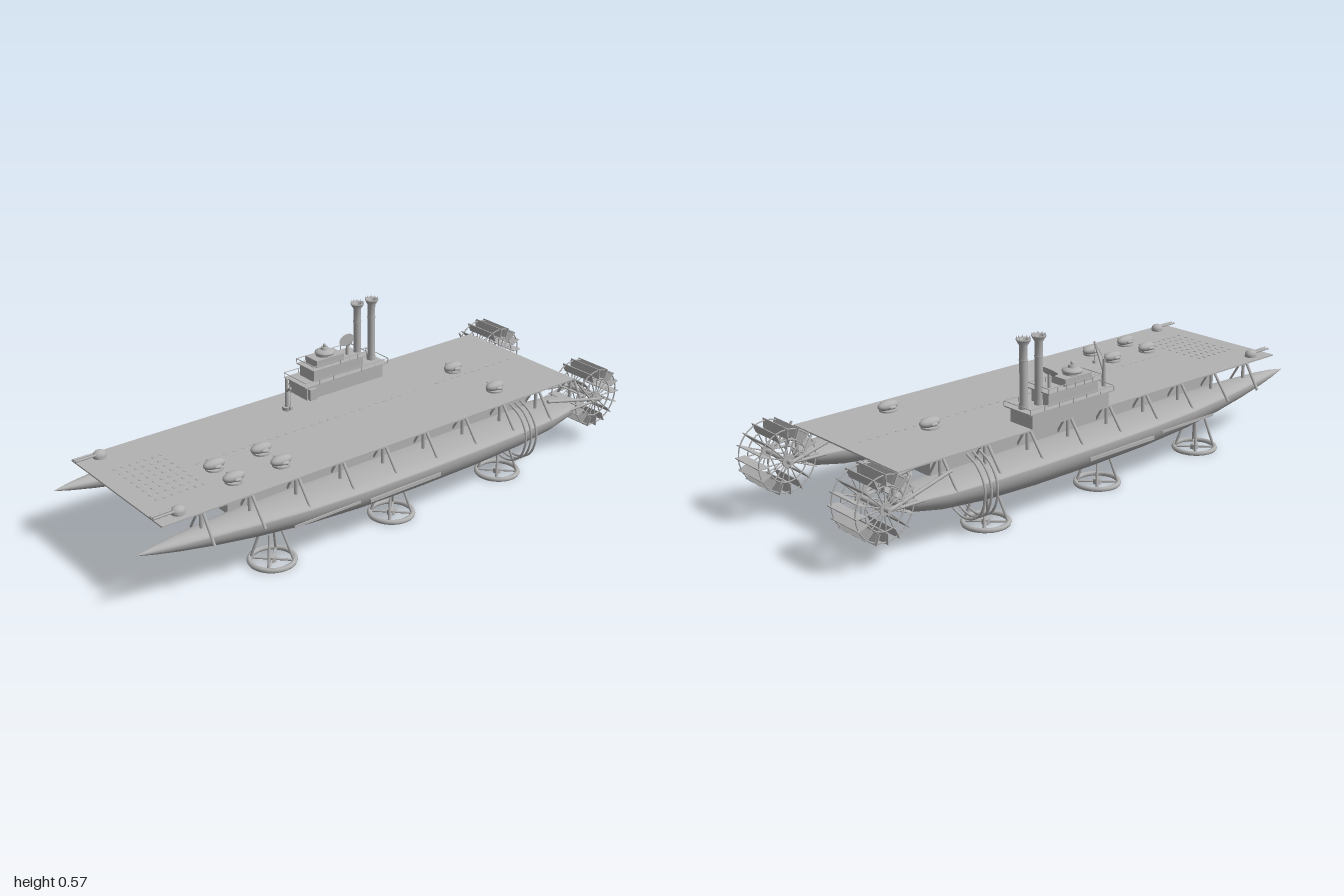
import * as THREE from 'three';

const grey = new THREE.MeshStandardMaterial({ color: 0xb2b2b2 });
grey.name = 'plain grey';

const V = (x, y, z) => new THREE.Vector3(x, y, z);

export function createModel() {
  const root = new THREE.Group();
  root.name = 'paddleRaft';

  const add = (name, geo, x = 0, y = 0, z = 0, parent = root) => {
    const m = new THREE.Mesh(geo, grey);
    m.name = name;
    m.position.set(x, y, z);
    parent.add(m);
    return m;
  };
  const group = (name, x = 0, y = 0, z = 0) => {
    const g = new THREE.Group();
    g.name = name;
    g.position.set(x, y, z);
    root.add(g);
    return g;
  };
  const box = (name, w, h, d, x, y, z, parent) => add(name, new THREE.BoxGeometry(w, h, d), x, y, z, parent);
  const cyl = (name, r1, r2, h, x, y, z, parent, n = 20) =>
    add(name, new THREE.CylinderGeometry(r1, r2, h, n), x, y, z, parent);
  const rod = (name, a, b, r, parent) => {
    const d = b.clone().sub(a);
    const m = add(name, new THREE.CylinderGeometry(r, r, d.length(), 8), 0, 0, 0, parent);
    m.position.copy(a).add(b).multiplyScalar(0.5);
    m.quaternion.setFromUnitVectors(V(0, 1, 0), d.normalize());
    return m;
  };
  const ball = (name, rx, ry, rz, x, y, z, parent) => {
    const m = add(name, new THREE.SphereGeometry(1, 20, 12), x, y, z, parent);
    m.scale.set(rx, ry, rz);
    return m;
  };

  // Hull lofted from sections: z, half width, gunwale height, crown height, keel height
  const sections = [
    [1, 0.0005, 0.198, 0.199, 0.197], [0.94, 0.015, 0.196, 0.208, 0.182], [0.86, 0.03, 0.194, 0.213, 0.165],
    [0.74, 0.049, 0.192, 0.213, 0.144], [0.6, 0.067, 0.189, 0.211, 0.124], [0.42, 0.086, 0.186, 0.209, 0.105],
    [0.2, 0.098, 0.184, 0.207, 0.093], [-0.05, 0.1, 0.182, 0.206, 0.088], [-0.3, 0.099, 0.181, 0.205, 0.089],
    [-0.5, 0.094, 0.181, 0.203, 0.096], [-0.66, 0.084, 0.182, 0.201, 0.113], [-0.77, 0.066, 0.184, 0.198, 0.136],
    [-0.81, 0.04, 0.184, 0.194, 0.155], [-0.82, 0.0005, 0.176, 0.177, 0.175],
  ];
  function hullGeometry() {
    const n = 32, pos = [], idx = [];
    sections.forEach(([z, w, gun, top, keel], i) => {
      for (let j = 0; j < n; j++) {
        const a = (j / n) * Math.PI * 2, s = Math.sin(a);
        pos.push(Math.cos(a) * w, gun + s * (s > 0 ? top - gun : gun - keel), z);
        if (i < sections.length - 1) {
          const k = (j + 1) % n, A = i * n + j, B = i * n + k;
          idx.push(A, A + n, B, B, A + n, B + n);
        }
      }
    });
    const g = new THREE.BufferGeometry();
    g.setAttribute('position', new THREE.Float32BufferAttribute(pos, 3));
    g.setIndex(idx);
    g.computeVertexNormals();
    return g;
  }

  // Deck and the long body beneath it
  box('deck', 0.55, 0.005, 1.73, 0, 0.2735, 0.055);
  box('underDeckBody', 0.42, 0.077, 1.29, 0, 0.2335, 0.005);

  // Deck planks: centre line and bow patch
  for (let i = 0; i < 40; i++) box('deckDash', 0.004, 0.002, 0.012, 0, 0.2765, 0.62 - i * 0.035);
  for (let i = 0; i < 8; i++)
    for (let j = 0; j < 7; j++) box('bowStud', 0.012, 0.002, 0.008, -0.126 + i * 0.036, 0.2765, 0.68 + j * 0.028);

  const hull = hullGeometry();
  for (const s of [-1, 1]) {
    const cx = s * 0.255;
    add('hull', hull, cx, 0, 0);
    box('sideRail', 0.004, 0.008, 0.26, s * 0.352, 0.16, 0.37);
    box('sidePlate', 0.006, 0.012, 0.3, s * 0.352, 0.15, 0.05);

    // Deck struts
    for (let i = 0; i < 10; i++) {
      const z = 0.775 - i * 0.1765;
      const out = i === 0 || i === 9 ? 0.325 : 0.338;
      rod('deckStrut', V(s * 0.27, 0.272, z), V(s * out, 0.182, z), 0.005);
      rod('deckPost', V(cx, 0.19, z), V(cx, 0.272, z), 0.006);
      rod('innerStrut', V(s * 0.245, 0.272, z), V(s * 0.195, 0.19, z), 0.004);
    }

    // Pipes looping under the hull
    for (const z of [-0.495, -0.52, -0.545]) {
      const pts = [[0.27, 0.262], [0.315, 0.238], [0.347, 0.195], [0.355, 0.145], [0.326, 0.075],
        [0.255, 0.046], [0.184, 0.075], [0.155, 0.145], [0.165, 0.185]].map(([x, y]) => V(s * x, y, z));
      add('hullPipe', new THREE.TubeGeometry(new THREE.CatmullRomCurve3(pts), 36, 0.004, 6));
    }

    // Landing rings
    for (const z of [0.52, 0.03, -0.46]) {
      const g = group('landingRing', cx, 0, z);
      add('ring', new THREE.TorusGeometry(0.073, 0.0085, 8, 32).rotateX(Math.PI / 2), 0, 0.0095, 0, g);
      cyl('hub', 0.014, 0.014, 0.018, 0, 0.011, 0, g);
      for (let i = 0; i < 4; i++) {
        const a = Math.PI / 4 + i * Math.PI / 2, c = Math.cos(a), d = Math.sin(a);
        rod('spoke', V(0, 0.01, 0), V(c * 0.072, 0.01, d * 0.072), 0.004, g);
        rod('leg', V(c * 0.068, 0.014, d * 0.068), V(c * 0.034, 0.115, d * 0.034), 0.0045, g);
      }
    }

    // Stern paddle wheel
    const w = group('paddleWheel', cx, 0.195, -0.888);
    rod('axle', V(-0.085, 0, 0), V(0.085, 0, 0), 0.008, w);
    for (const x of [-0.06, 0.06]) {
      for (const r of [0.104, 0.07])
        add('wheelRim', new THREE.TorusGeometry(r, 0.0025, 6, 36).rotateY(Math.PI / 2), x, 0, 0, w);
      const h = cyl('wheelHub', 0.02, 0.02, 0.008, x, 0, 0, w);
      h.rotation.z = Math.PI / 2;
    }
    for (let i = 0; i < 16; i++) {
      const a = (i / 16) * Math.PI * 2, c = Math.cos(a), d = Math.sin(a);
      for (const x of [-0.06, 0.06]) rod('wheelSpoke', V(x, 0, 0), V(x, c * 0.108, d * 0.108), 0.0022, w);
      box('paddle', 0.142, 0.036, 0.003, 0, c * 0.092, d * 0.092, w).rotation.x = a;
    }
    // Wheel bearers and drive arms
    for (const x of [-0.08, 0.08]) {
      rod('wheelBearer', V(cx + x, 0.195, -0.888), V(cx + x * 0.7, 0.245, -0.64), 0.006);
      rod('lowerBearer', V(cx + x, 0.195, -0.888), V(cx + x * 0.75, 0.18, -0.7), 0.005);
      rod('bearerBrace', V(cx + x, 0.195, -0.85), V(cx + x * 0.75, 0.272, -0.79), 0.004);
    }

    // Bow guns
    const bow = group('bowGun', s * 0.235, 0.276, 0.84);
    cyl('gunBase', 0.022, 0.022, 0.006, 0, 0.003, 0, bow);
    ball('gunDome', 0.02, 0.018, 0.024, 0, 0.008, 0, bow);
    for (const x of [-0.007, 0.007]) rod('barrel', V(x, 0.014, 0), V(x, 0.014, 0.09), 0.004, bow);
  }

  // Deck turrets
  for (const [x, z] of [[-0.045, -0.51], [0.175, -0.51], [0.065, 0.42], [0.175, 0.42], [0.065, 0.6], [0.175, 0.6]]) {
    const t = group('turret', x, 0.276, z);
    cyl('turretBase', 0.03, 0.03, 0.006, 0, 0.005, 0, t);
    ball('turretBody', 0.02, 0.017, 0.04, 0, 0.02, 0, t);
    rod('crossBar', V(-0.04, 0.019, 0), V(0.04, 0.019, 0), 0.0025, t);
    for (const e of [-1, 1]) ball('turretPod', 0.008, 0.006, 0.014, e * 0.024, 0.019, 0, t);
  }

  // Wheelhouse tiers with railed platforms
  const X = -0.222;
  const platform = (w, d, y, z, h) => {
    box('platform', w, 0.004, d, X, y, z);
    for (const e of [-1, 1]) {
      box('handRail', 0.002, 0.002, d, X + e * w / 2, y + h, z);
      box('handRail', w, 0.002, 0.002, X, y + h, z + e * d / 2);
      for (let i = 0; i <= 6; i++) box('railPost', 0.002, h, 0.002, X + e * w / 2, y + h / 2, z - d / 2 + i * d / 6);
    }
  };
  box('lowerHouse', 0.105, 0.052, 0.34, X, 0.301, -0.11);
  platform(0.126, 0.37, 0.329, -0.112, 0.018);
  box('middleHouse', 0.082, 0.045, 0.22, X, 0.352, -0.09);
  platform(0.1, 0.235, 0.375, -0.09, 0.018);
  box('upperHouse', 0.066, 0.026, 0.12, X, 0.389, -0.06);
  cyl('domeCollar', 0.03, 0.032, 0.012, X, 0.406, -0.058);
  ball('dome', 0.035, 0.012, 0.035, X, 0.413, -0.058);
  cyl('domeCap', 0.012, 0.016, 0.012, X, 0.427, -0.058);
  ball('domeKnob', 0.006, 0.008, 0.006, X, 0.437, -0.058);
  cyl('lampPost', 0.005, 0.006, 0.05, X, 0.4, -0.16);
  const dish = cyl('signalDish', 0.029, 0.018, 0.012, X, 0.428, -0.16);
  dish.rotation.x = 0.6;
  box('frontLocker', 0.032, 0.04, 0.03, -0.171, 0.298, 0.04);

  // Funnels with crowned tops
  for (const z of [-0.205, -0.27]) {
    const f = group('funnel', X, 0, z);
    const profile = [[0.016, 0.32], [0.016, 0.345], [0.0135, 0.35], [0.0135, 0.49], [0.015, 0.491], [0.015, 0.494],
      [0.0135, 0.495], [0.0135, 0.54], [0.024, 0.558], [0.024, 0.562], [0.012, 0.56], [0.01, 0.54], [0, 0.54]];
    add('funnelPipe', new THREE.LatheGeometry(profile.map(([r, y]) => new THREE.Vector2(r, y)), 20), 0, 0, 0, f);
    for (let i = 0; i < 10; i++) {
      const a = (i / 10) * Math.PI * 2;
      add('crownPoint', new THREE.ConeGeometry(0.003, 0.01, 5), Math.cos(a) * 0.022, 0.565, Math.sin(a) * 0.022, f);
    }
  }

  // Crane
  const foot = V(-0.156, 0.345, 0.155), tip = V(-0.042, 0.413, 0.222);
  cyl('craneBase', 0.018, 0.018, 0.012, -0.156, 0.282, 0.155);
  cyl('cranePost', 0.005, 0.009, 0.11, -0.156, 0.337, 0.155, root, 12);
  rod('craneBoom', foot, tip, 0.0045);
  rod('craneStay', V(-0.156, 0.39, 0.155), tip, 0.0013);
  rod('craneCable', tip, V(-0.042, 0.345, 0.222), 0.0011);
  box('craneLoad', 0.01, 0.01, 0.01, -0.042, 0.341, 0.222);

  return root;
}
